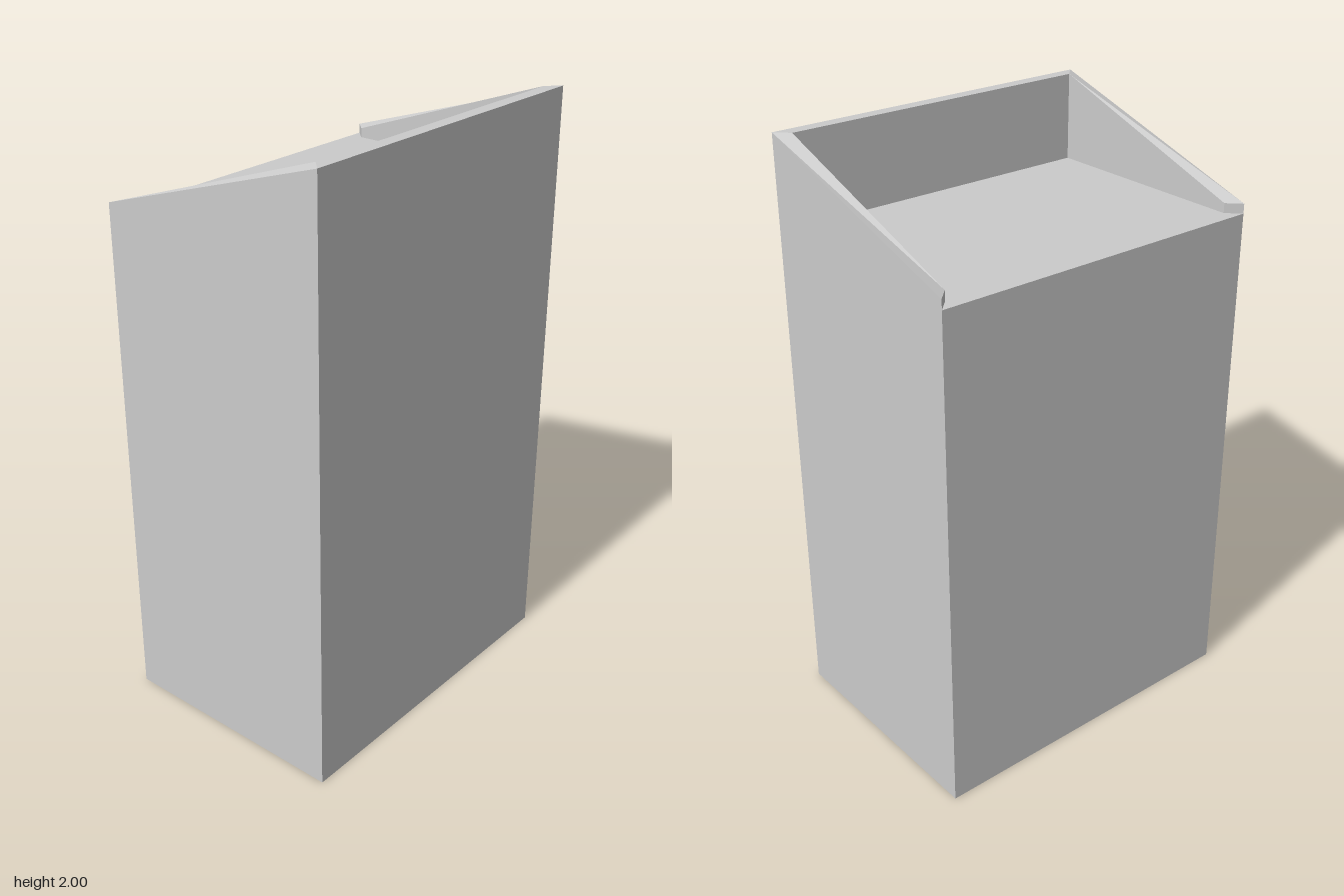
import * as THREE from 'three';

const HALF_X = 0.583, HALF_Z = 0.408, WALL = 0.043;
const FLOOR = 1.71, BACK_TOP = 1.742, FRONT_TOP = 2;

// Flat-shaded mesh from quads with counter-clockwise corners
function quadMesh(name, quads, material) {
  const points = quads.flatMap(([a, b, c, d]) => [a, b, c, a, c, d]);
  const geometry = new THREE.BufferGeometry();
  geometry.setAttribute('position', new THREE.Float32BufferAttribute(points.flat(), 3));
  geometry.computeVertexNormals();
  const mesh = new THREE.Mesh(geometry, material);
  mesh.name = name;
  return mesh;
}

// Wall section at one corner: base, outer rim, inner rim, roof level inside
function section(sx, sz) {
  const top = sz > 0 ? FRONT_TOP : BACK_TOP;
  const x = sx * HALF_X, z = sz * HALF_Z;
  const ix = sx * (HALF_X - WALL), iz = sz * (HALF_Z - WALL);
  return [[x, 0, z], [x, top, z], [ix, top, iz], [ix, FLOOR, iz]];
}

export function createModel() {
  const group = new THREE.Group();
  group.name = 'building';
  const material = new THREE.MeshStandardMaterial({ color: 0xcccccc, flatShading: true });

  // Corners from one back end, round the front, to the other back end
  const corners = [section(1, -1), section(1, 1), section(-1, 1), section(-1, -1)];
  const [p, q, r, s] = corners;
  const backP = [HALF_X, FLOOR, -HALF_Z], backS = [-HALF_X, FLOOR, -HALF_Z];

  // Side and front walls with their sloping parapet, open at the back
  const walls = [];
  for (let i = 0; i < 3; i++) {
    const c = corners[i], n = corners[i + 1];
    for (let k = 0; k < 3; k++) walls.push([n[k], c[k], c[k + 1], n[k + 1]]);
  }
  // Mitred ends of the parapet
  walls.push([backP, p[3], p[2], p[1]], [s[3], backS, s[1], s[2]]);
  group.add(quadMesh('wallsAndParapet', walls, material));

  group.add(quadMesh('backWall', [[p[0], s[0], backS, backP]], material));
  group.add(quadMesh('roof', [[p[3], s[3], r[3], q[3]], [backP, backS, s[3], p[3]]], material));
  group.add(quadMesh('base', [[s[0], p[0], q[0], r[0]]], material));
  return group;
}
